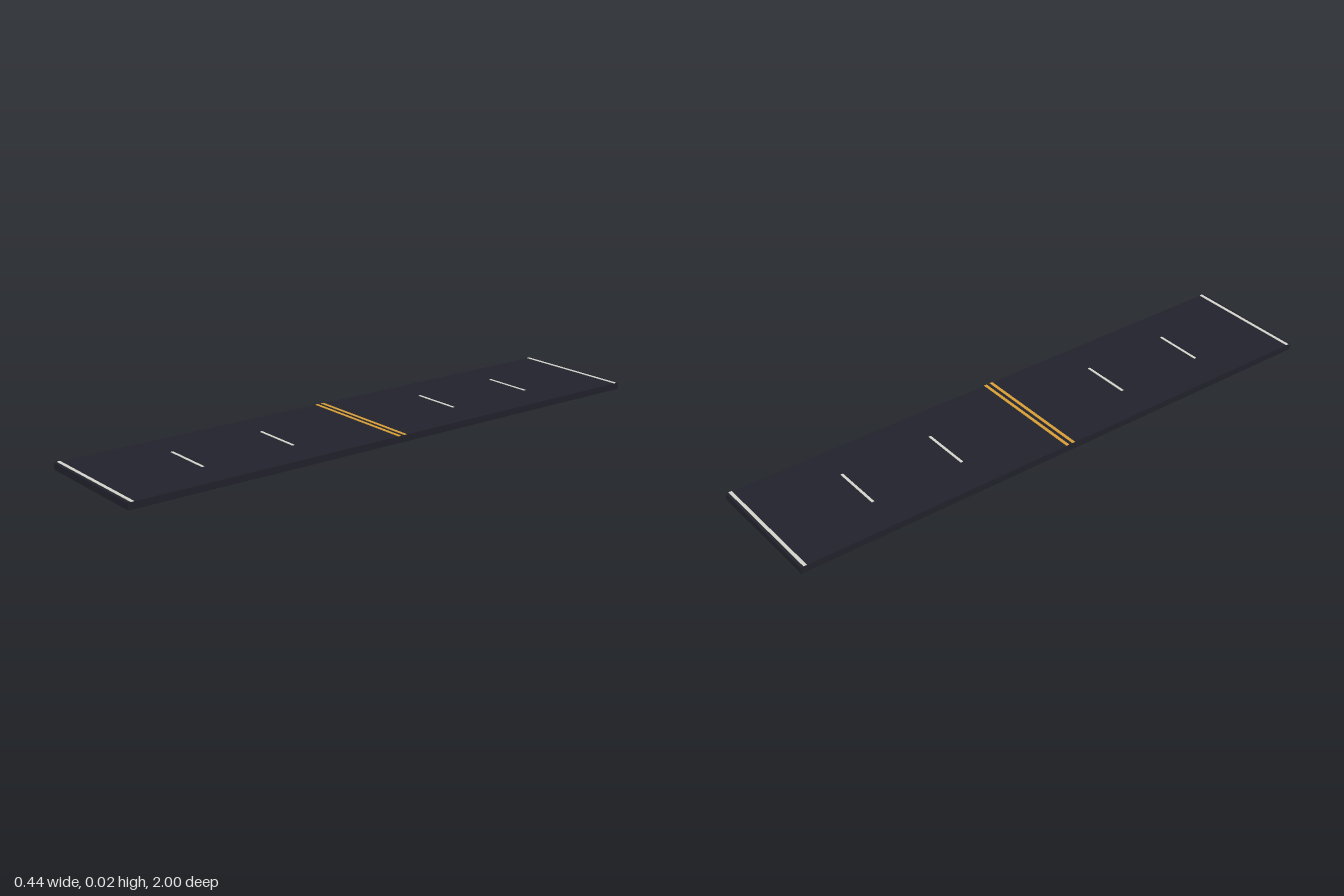
import * as THREE from 'three';

export function createModel() {
  const asphalt = new THREE.MeshStandardMaterial({ name: 'asphalt', color: 0x23232d });
  const white = new THREE.MeshStandardMaterial({ name: 'white paint', color: 0xd6d6ce });
  const amber = new THREE.MeshStandardMaterial({ name: 'amber paint', color: 0xd9a035 });

  const model = new THREE.Group();
  model.name = 'roadSection';
  const roadWidth = 0.444, slabHeight = 0.023, paintHeight = 0.0015;

  function addBox(name, material, width, height, depth, y, z) {
    const mesh = new THREE.Mesh(new THREE.BoxGeometry(width, height, depth), material);
    mesh.name = name;
    mesh.position.set(0, y + height / 2, z);
    model.add(mesh);
  }

  // Road slab, running along z
  addBox('roadSlab', asphalt, roadWidth, slabHeight, 2, 0, 0);

  // Painted lines across the slab, mirrored front to back
  for (const side of [1, -1]) {
    addBox('edgeLine', white, roadWidth, paintHeight, 0.011, slabHeight, side * 0.985);
    addBox('centreLine', amber, roadWidth, paintHeight, 0.011, slabHeight, side * 0.012);
    for (const z of [1 / 3, 2 / 3]) {
      addBox('laneDash', white, 0.178, paintHeight, 0.009, slabHeight, side * z);
    }
  }
  return model;
}
